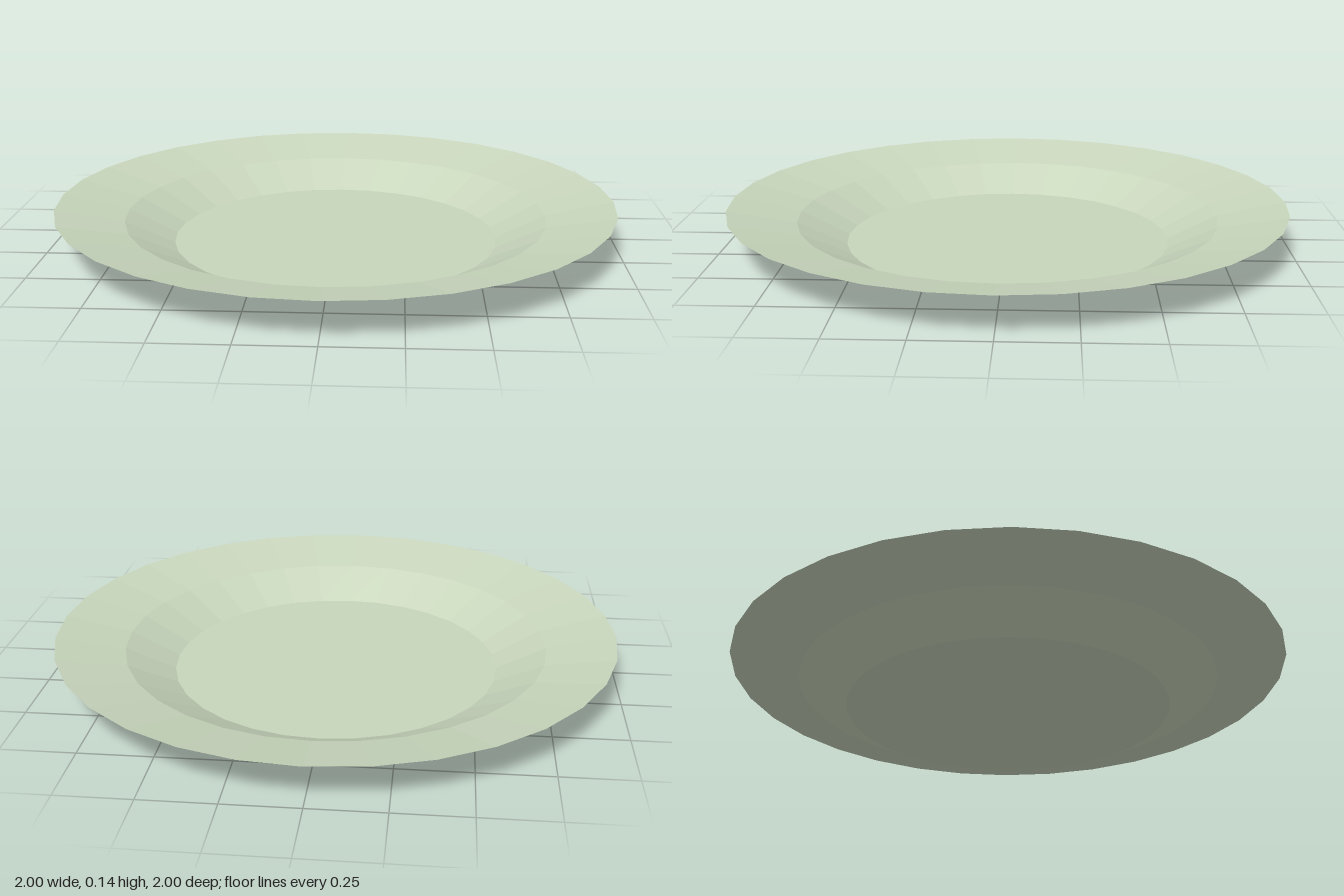
import * as THREE from 'three';

const SIDES = 32;
const FLOOR_RADIUS = 0.583;

export function createModel() {
  const plate = new THREE.Group();
  plate.name = 'plate';
  const material = new THREE.MeshStandardMaterial({
    color: 0xc8d6bc,
    flatShading: true,
    side: THREE.DoubleSide,
  });

  const addPart = (name, geometry) => {
    const mesh = new THREE.Mesh(geometry, material);
    mesh.name = name;
    plate.add(mesh);
  };

  // A thin faceted ring between two [radius, height] points
  const ring = (inner, outer) =>
    new THREE.LatheGeometry([new THREE.Vector2(...inner), new THREE.Vector2(...outer)], SIDES);

  // Flat floor
  addPart('floor', new THREE.CircleGeometry(FLOOR_RADIUS, SIDES).rotateX(-Math.PI / 2));

  // Steep wall, then the shallow flared rim
  addPart('wall', ring([FLOOR_RADIUS, 0], [0.757, 0.088]));
  addPart('rim', ring([0.757, 0.088], [1, 0.14]));

  return plate;
}
